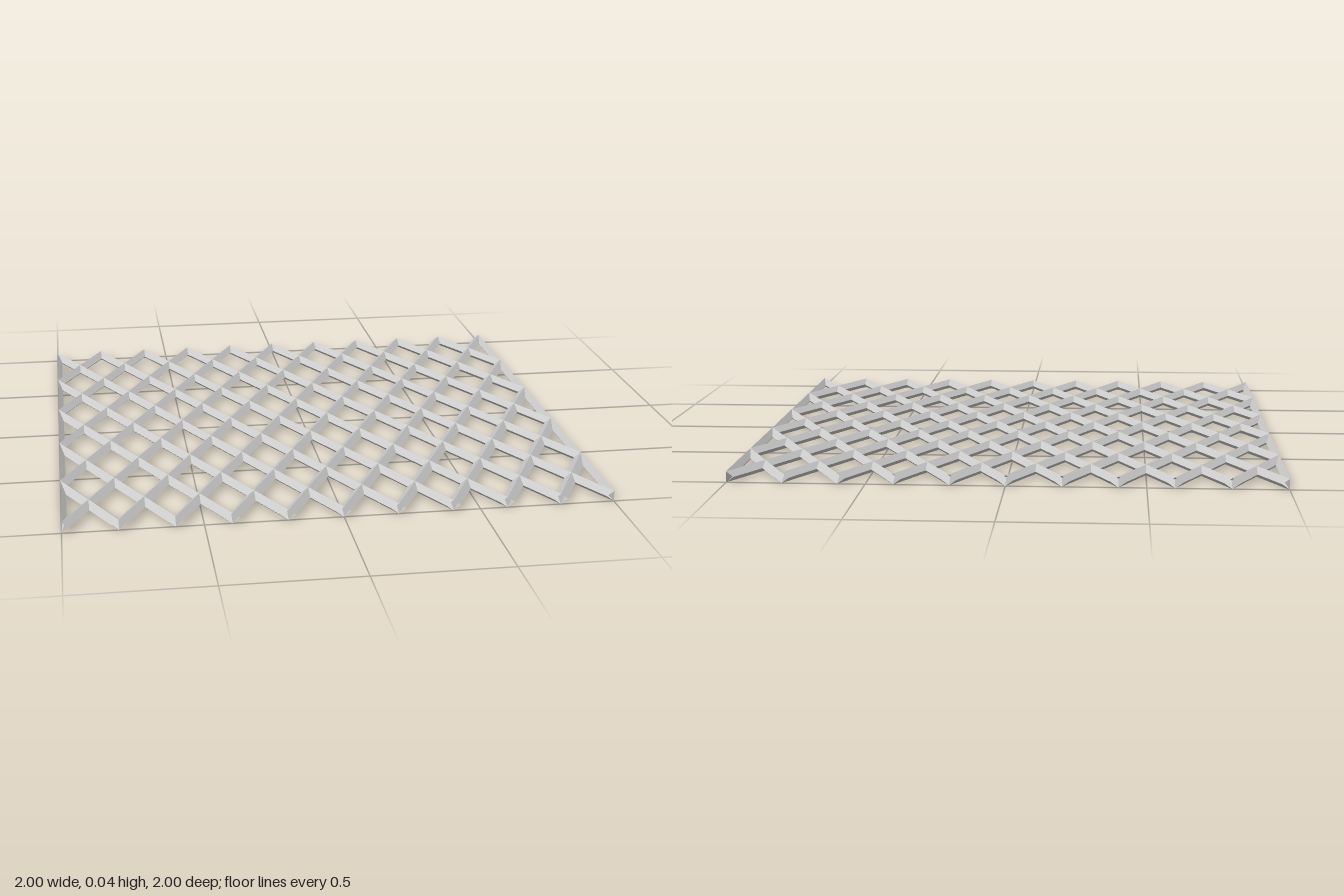
import * as THREE from 'three';
import { mergeGeometries } from 'three/addons/utils/BufferGeometryUtils.js';

const H = 0.04;             // panel thickness
const CX = 0.1, CZ = 0.2;   // half width and half length of a diamond cell
const BAR = 0.024;          // half width of a bar, square to its run
const BAND = 0.02;          // depth of the side bands
const slant = Math.hypot(CX, CZ);
const IX = CX - BAR * slant / CZ, IZ = CZ - BAR * slant / CX; // opening at mid height

// V-shaped walls between a rim (top and bottom) and a smaller opening at mid height.
// Points run counter-clockwise seen from above.
function cellWalls(rim, opening, closed) {
  const p = [];
  const quad = (a, b, c, d) => p.push(...a, ...b, ...c, ...a, ...c, ...d);
  const count = closed ? rim.length : rim.length - 1;
  for (let i = 0; i < count; i++) {
    const j = (i + 1) % rim.length;
    const at = ([x, z], y) => [x, y, z];
    const midA = at(opening[i], H / 2), midB = at(opening[j], H / 2);
    quad(at(rim[i], H), at(rim[j], H), midB, midA);
    quad(midA, midB, at(rim[j], 0), at(rim[i], 0));
  }
  const g = new THREE.BufferGeometry();
  g.setAttribute('position', new THREE.Float32BufferAttribute(p, 3));
  g.computeVertexNormals();
  return g;
}

export function createModel() {
  const group = new THREE.Group();
  const material = new THREE.MeshStandardMaterial({
    color: 0xcccccc, flatShading: true, side: THREE.DoubleSide,
  });
  const add = (name, geometry) => {
    const mesh = new THREE.Mesh(geometry, material);
    mesh.name = name;
    group.add(mesh);
    return mesh;
  };

  // Full diamond, half diamond open at the panel end, half diamond against a side band
  const diamond = cellWalls(
    [[CX, 0], [0, -CZ], [-CX, 0], [0, CZ]],
    [[IX, 0], [0, -IZ], [-IX, 0], [0, IZ]], true);
  const endHalf = cellWalls(
    [[-CX, 0], [0, CZ], [CX, 0]],
    [[-IX, 0], [0, IZ], [IX, 0]], false);
  const sz = IZ * (1 - BAND / IX);
  const sideHalf = cellWalls(
    [[0, CZ], [CX, 0], [0, -CZ]],
    [[BAND, sz], [IX, 0], [BAND, -sz]], true);

  // Staggered grid of cells
  const full = [], ends = { back: [], front: [] }, sides = { right: [], left: [] };
  for (let i = -10; i <= 10; i++) {
    for (let j = -5; j <= 5; j++) {
      if ((i + j) % 2 !== 0) continue;
      const place = (g, turned) =>
        g.clone().rotateY(turned ? Math.PI : 0).translate(i * CX, 0, j * CZ);
      if (Math.abs(j) === 5) ends[j < 0 ? 'back' : 'front'].push(place(endHalf, j > 0));
      else if (Math.abs(i) === 10) sides[i < 0 ? 'right' : 'left'].push(place(sideHalf, i > 0));
      else full.push(place(diamond, false));
    }
  }
  add('diamondLattice', mergeGeometries(full));
  for (const k in ends) add(k + 'EndBars', mergeGeometries(ends[k]));
  for (const k in sides) add(k + 'SideBars', mergeGeometries(sides[k]));

  // Flat outer faces of the two side bands
  for (const s of [-1, 1]) {
    const band = add(s < 0 ? 'rightBand' : 'leftBand', new THREE.PlaneGeometry(2, H));
    band.rotation.y = s * Math.PI / 2;
    band.position.set(s, H / 2, 0);
  }
  return group;
}
